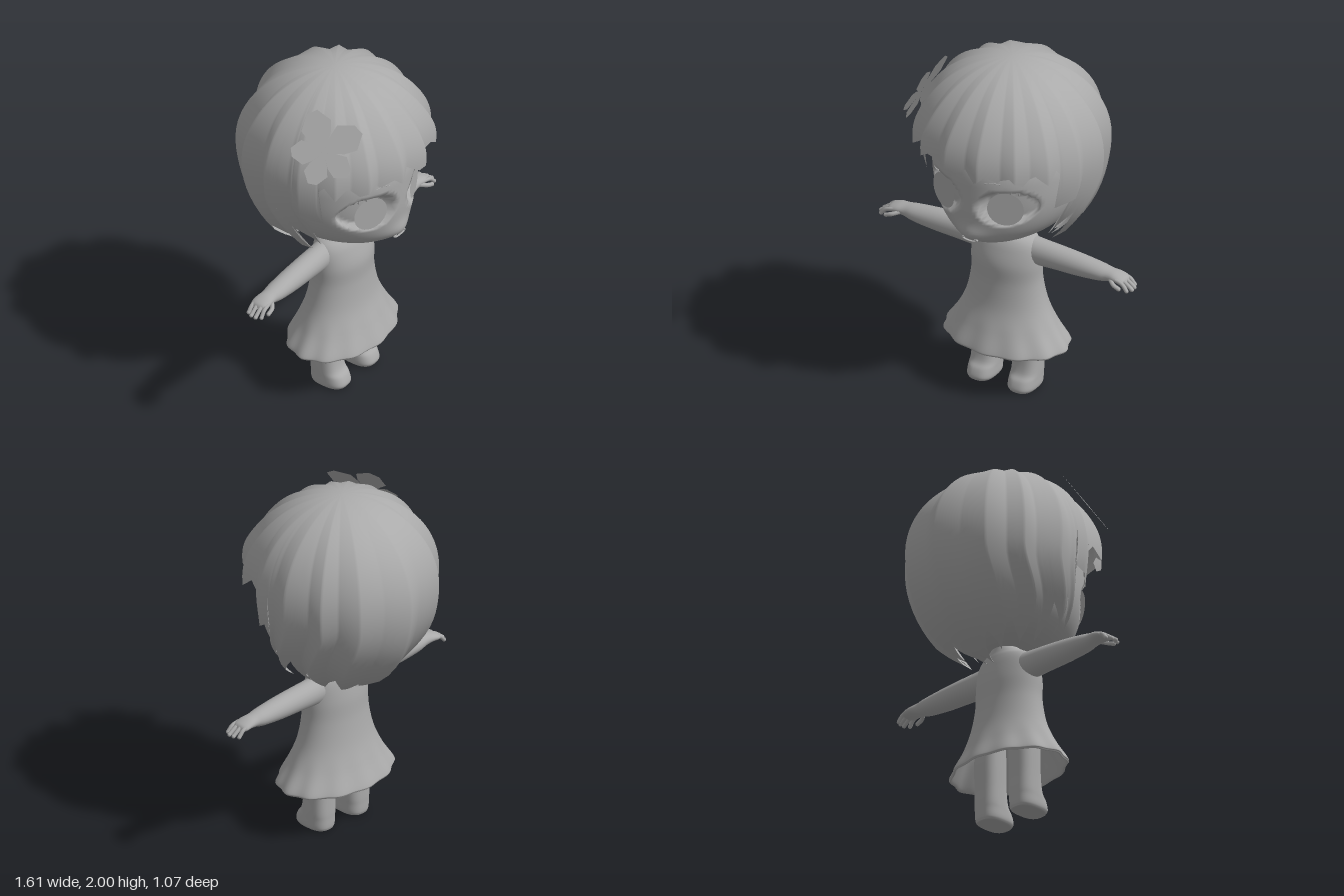
import * as THREE from 'three';

const skin = new THREE.MeshStandardMaterial({ color: 0xaaaaaa, side: THREE.DoubleSide });
skin.name = 'plain grey';

const { sin, cos, sqrt, PI } = Math;
const smoothstep = THREE.MathUtils.smoothstep;

// Closed tubular surface: f(u, v) gives a point, u runs round, v runs along
function loft(nu, nv, f) {
  const pos = [], idx = [];
  for (let j = 0; j <= nv; j++) {
    for (let i = 0; i < nu; i++) pos.push(...f(i / nu, j / nv));
  }
  for (let j = 0; j < nv; j++) {
    for (let i = 0; i < nu; i++) {
      const k = (i + 1) % nu, a = j * nu + i, b = j * nu + k;
      idx.push(a, a + nu, b, b, a + nu, b + nu);
    }
  }
  const g = new THREE.BufferGeometry();
  g.setAttribute('position', new THREE.Float32BufferAttribute(pos, 3));
  g.setIndex(idx);
  g.computeVertexNormals();
  return g;
}

// Smooth curve through cross-section rows, read at v in 0..1
function sections(rows) {
  const curves = rows[0].map((_, c) =>
    new THREE.SplineCurve(rows.map((r, i) => new THREE.Vector2(i, r[c]))));
  return v => curves.map(c => c.getPoint(v).y);
}

function add(parent, name, geometry) {
  const m = new THREE.Mesh(geometry, skin);
  m.name = name;
  parent.add(m);
  return m;
}

const tube = (pts, r, n = 16) => new THREE.TubeGeometry(
  new THREE.CatmullRomCurve3(pts.map(p => new THREE.Vector3(...p))), n, r, 8);

// Head: rounded jaw, flat face, hollow eye sockets and a slight muzzle
function headPoint(a, s) {
  const up = s > 0, k = Math.abs(s);
  const y = 1.42 + s * (up ? 0.4 : 0.445);
  const round = n => Math.pow(Math.max(0, 1 - k ** n), 1 / n);
  const x = sin(a) * 0.42 * round(up ? 2 : 2.5);
  let z = cos(a) * (cos(a) > 0 ? 0.455 * round(up ? 2 : 4) : 0.36 * round(2.2));
  if (cos(a) > 0) {
    const d = sqrt(((Math.abs(x) - 0.195) / 0.145) ** 2 + ((y - 1.295) / 0.108) ** 2);
    z -= 0.065 * (1 - smoothstep(d, 0.84, 1.0));
    z += 0.035 * Math.exp(-((x / 0.1) ** 2) - ((y - 1.09) / 0.06) ** 2);
  }
  return [x, y, z];
}

function faceZ(x, y) {
  const s = (y - 1.42) / (y > 1.42 ? 0.4 : 0.445);
  const w = headPoint(PI / 2, s)[0];
  return headPoint(Math.asin(x / w), s)[2];
}

// Hair: radius of ridges and valleys, and height of the ragged edge, by angle from the front
const STAR = [[0, 0.88], [11, 1], [24, 0.87], [33, 1], [43, 0.9], [53, 1], [64, 0.91], [76, 0.98],
  [85, 0.89], [99, 1], [112, 0.84], [123, 1], [133, 0.84], [146, 1], [164, 0.9], [180, 1]];
const EDGE = [[0, 1.53], [8, 1.48], [15, 1.53], [22, 1.48], [30, 1.53], [38, 1.48], [46, 1.53], [53, 1.48],
  [60, 1.54], [64, 1.5], [65, 1.28], [74, 1.31], [81, 1.36], [82, 1.05], [92, 1.19], [95, 0.98], [105, 1.13],
  [109, 0.95], [122, 1.1], [127, 0.93], [141, 1.04], [147, 0.9], [160, 0.98], [170, 0.87], [180, 0.9]];

// The two table rows either side of an angle
function bracket(rows, deg) {
  const i = Math.max(1, rows.findIndex(r => r[0] >= deg));
  return [...rows[i - 1], ...rows[i]];
}

function edgeHeight(deg) {
  const [d0, y0, d1, y1] = bracket(EDGE, deg);
  return y0 + (y1 - y0) * (deg - d0) / (d1 - d0);
}

// Radius on the straight line from a ridge to the next valley
function starRadius(deg) {
  const [d0, r0, d1, r1] = bracket(STAR, deg), rad = PI / 180;
  return r0 * r1 * sin((d1 - d0) * rad) / (r0 * sin((deg - d0) * rad) + r1 * sin((d1 - deg) * rad));
}

function hairPoint(u, v) {
  const deg = 180 - Math.abs(180 - u * 360);
  const y = 2 - (2 - edgeHeight(deg)) * Math.pow(v, 1.6);
  const d = (y - 1.5) / (y > 1.5 ? 0.5 : 0.64);
  const star = 1 - (1 - starRadius(deg)) * (0.6 + 0.4 * Math.min(1, v * 2));
  // The fringe is a little fuller than the rest
  const full = 1 + 0.04 * (1 - smoothstep(deg, 40, 64)) * Math.exp(-(((y - 1.63) / 0.13) ** 2));
  const r = 0.535 * sqrt(Math.max(0, 1 - d * d)) * star * full;
  // Side locks sweep forward at their tips
  const a = u * 2 * PI;
  const b = a - 0.32 * sin(a) * smoothstep(-y, -1.4, -1.0);
  return [sin(b) * r, y, cos(b) * r];
}

// Soft normals: ridges are blended with the round form beneath them
function hairGeometry() {
  const g = loft(360, 28, hairPoint);
  const p = g.attributes.position, n = g.attributes.normal;
  const soft = new THREE.Vector3(), own = new THREE.Vector3();
  for (let i = 0; i < p.count; i++) {
    soft.set(p.getX(i), p.getY(i) - 1.48, p.getZ(i)).normalize();
    own.fromBufferAttribute(n, i).lerp(soft, 0.7).normalize();
    n.setXYZ(i, own.x, own.y, own.z);
  }
  return g;
}

export function createModel() {
  const model = new THREE.Group();
  model.name = 'doll';

  add(model, 'head', loft(128, 72, (u, v) => headPoint(u * 2 * PI, cos(v * PI))));
  add(model, 'hair', hairGeometry());

  // Neck and flared dress: y, half width, half depth, centre z
  const dress = sections([[1.03, 0.07, 0.065, 0.02], [0.985, 0.08, 0.075, 0.025], [0.95, 0.125, 0.09, 0.033],
    [0.92, 0.175, 0.108, 0.042], [0.87, 0.2, 0.125, 0.048], [0.78, 0.208, 0.143, 0.053], [0.66, 0.21, 0.147, 0.05],
    [0.52, 0.24, 0.168, 0.048], [0.4, 0.295, 0.208, 0.05], [0.3, 0.36, 0.25, 0.05],
    [0.28, 0.363, 0.254, 0.05], [0.285, 0.345, 0.24, 0.05], [0.42, 0.27, 0.19, 0.05], [0.56, 0.19, 0.13, 0.05],
    [0.58, 0.005, 0.005, 0.05]]);
  add(model, 'dress', loft(96, 90, (u, v) => {
    const [y, w, d, z] = dress(v);
    const a = u * 2 * PI;
    const wave = 1 + 0.02 * cos(12 * a) * smoothstep(-y, -0.5, -0.28);
    return [sin(a) * w * wave, y, z + cos(a) * d * wave];
  }));

  // Arm: x, centre y, half height, half depth
  const arm = sections([[0.1, 0.85, 0.085, 0.07], [0.2, 0.847, 0.077, 0.068], [0.32, 0.847, 0.07, 0.067],
    [0.45, 0.845, 0.063, 0.064], [0.58, 0.844, 0.049, 0.057], [0.64, 0.846, 0.037, 0.048],
    [0.69, 0.847, 0.028, 0.052], [0.735, 0.838, 0.02, 0.048], [0.75, 0.834, 0.003, 0.01]]);
  // Leg and foot: y, half width, half depth, centre z
  const leg = sections([[0.6, 0.08, 0.075, 0.04], [0.35, 0.08, 0.078, 0.038], [0.2, 0.079, 0.08, 0.04],
    [0.11, 0.08, 0.088, 0.047], [0.07, 0.08, 0.102, 0.062], [0.03, 0.08, 0.109, 0.07],
    [0.01, 0.074, 0.104, 0.069], [0, 0.058, 0.088, 0.067], [0, 0.001, 0.001, 0.066]]);

  for (const s of [1, -1]) {
    const side = s > 0 ? 'left' : 'right';
    add(model, side + 'Arm', loft(24, 40, (u, v) => {
      const [x, y, h, d] = arm(v), a = -s * u * 2 * PI;
      return [s * x, y + cos(a) * h, 0.035 + sin(a) * d];
    }));

    // Four fingers and a thumb
    const hand = new THREE.Group();
    hand.name = side + 'Fingers';
    model.add(hand);
    [[0, 0.775], [0.026, 0.79], [0.053, 0.792], [0.078, 0.775]].forEach(([z, tip]) => {
      const g = tube([[s * 0.7, 0.848, z], [s * 0.745, 0.836, z * 1.05], [s * tip, 0.806, z * 1.1]], 0.0115);
      add(hand, 'finger', g);
      const end = add(hand, 'fingertip', new THREE.SphereGeometry(0.0115, 10, 8));
      end.position.set(s * tip, 0.806, z * 1.1);
    });
    add(hand, 'thumb', tube([[s * 0.66, 0.84, 0.07], [s * 0.7, 0.828, 0.1], [s * 0.735, 0.815, 0.103]], 0.012));
    add(hand, 'thumbTip', new THREE.SphereGeometry(0.012, 10, 8)).position.set(s * 0.735, 0.815, 0.103);

    // Leg with squarish rounded section
    add(model, side + 'Leg', loft(40, 40, (u, v) => {
      const [y, w, d, z] = leg(v), a = u * 2 * PI;
      const sq = t => Math.sign(t) * Math.pow(Math.abs(t), 0.75);
      return [s * 0.128 + sq(sin(a)) * w, Math.max(0, y), z + sq(cos(a)) * d];
    }));

    // Flat iris set in its socket
    const eye = add(model, side + 'Eye', new THREE.CircleGeometry(0.1, 32));
    eye.position.set(s * 0.195, 1.29, 0.385);
    eye.rotation.y = s * 0.43;

    // Brow and lashes
    const onFace = pts => pts.map(([x, y]) => [s * x, y, faceZ(s * x, y) + 0.004]);
    add(model, side + 'Brow', tube(onFace([[0.1, 1.452], [0.14, 1.46], [0.18, 1.454]]), 0.002));
    for (const [x, y] of [[0.23, 1.405], [0.265, 1.395]]) {
      const lash = add(model, side + 'Lash', new THREE.ConeGeometry(0.006, 0.03, 6));
      lash.position.set(s * x, y, faceZ(s * x, y) + 0.004);
      lash.rotation.set(0.4, 0, -s * 0.4);
    }
  }

  // Small mouth
  const mouth = add(model, 'mouth', new THREE.TorusGeometry(0.045, 0.007, 8, 28));
  mouth.scale.set(1, 0.25, 1);
  mouth.position.set(0, 1.07, faceZ(0, 1.07) - 0.002);

  // Flat five-petalled flower on the right of the hair
  const flower = new THREE.Group();
  flower.name = 'flower';
  const petal = new THREE.Shape([[0, 0], [0.065, 0.09], [0.085, 0.155], [0.03, 0.225], [-0.03, 0.215],
    [-0.08, 0.14], [-0.05, 0.07]].map(p => new THREE.Vector2(...p)));
  for (let i = 0; i < 5; i++) {
    const p = add(flower, 'petal', new THREE.ShapeGeometry(petal));
    p.rotation.z = i * PI * 0.4 - 0.85;
    p.scale.setScalar(i < 2 ? 1.05 : 0.8);
  }
  flower.position.set(-0.425, 1.765, 0.24);
  flower.lookAt(-0.425 - 0.74, 1.765 + 0.58, 0.24 + 0.33);
  model.add(flower);

  return model;
}
